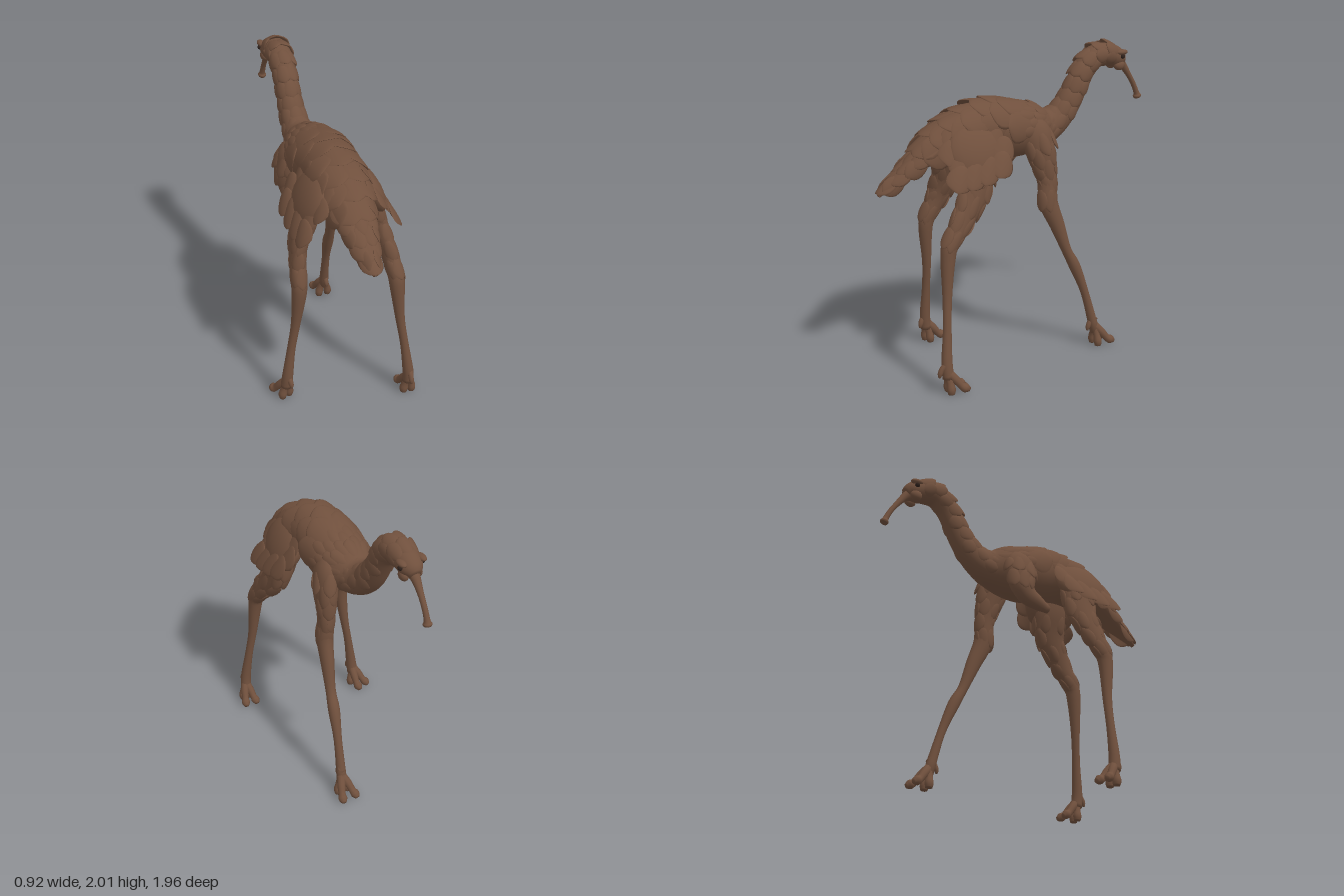
import * as THREE from 'three';
import { mergeGeometries } from 'three/addons/utils/BufferGeometryUtils.js';

const V = (x, y, z) => new THREE.Vector3(x, y, z);

// Limb or torso from stations [x, y, z, halfWidth, halfHeight]
function makeLoft(stations) {
  const path = new THREE.CatmullRomCurve3(stations.map(s => V(s[0], s[1], s[2])), false, 'catmullrom');
  const size = new THREE.CatmullRomCurve3(stations.map(s => V(s[3], s[4] ?? s[3], 0)), false, 'catmullrom');
  const frame = t => {
    const T = path.getTangent(t);
    const side = V(1, 0, 0).addScaledVector(T, -T.x).normalize();
    return { c: path.getPoint(t), side, up: V().crossVectors(T, side), r: size.getPoint(t) };
  };
  const at = (t, a, k = 1) => {
    const f = frame(t);
    return f.c.addScaledVector(f.side, Math.cos(a) * f.r.x * k).addScaledVector(f.up, Math.sin(a) * f.r.y * k);
  };
  const normal = (t, a) => {
    const f = frame(t);
    return f.side.multiplyScalar(Math.cos(a) / f.r.x).addScaledVector(f.up, Math.sin(a) / f.r.y).normalize();
  };
  return { at, normal, last: stations.length - 1 };
}

// Loft lying in the middle plane, from stations [y, z, halfWidth, halfHeight]
const middleLoft = stations => makeLoft(stations.map(s => [0, ...s]));

function loftGeometry(loft, sides = 14) {
  const steps = loft.last * 4, pos = [], idx = [];
  for (let i = -1; i <= steps + 1; i++) {
    const t = Math.min(Math.max(i / steps, 0), 1);
    const k = i < 0 || i > steps ? 0.001 : 1;
    for (let j = 0; j < sides; j++) pos.push(...loft.at(t, j / sides * Math.PI * 2, k).toArray());
  }
  for (let i = 0; i < steps + 2; i++) {
    for (let j = 0; j < sides; j++) {
      const a = i * sides + j, b = i * sides + (j + 1) % sides;
      idx.push(a, b, a + sides, b, b + sides, a + sides);
    }
  }
  const g = new THREE.BufferGeometry();
  g.setAttribute('position', new THREE.Float32BufferAttribute(pos, 3));
  g.setIndex(idx);
  g.computeVertexNormals();
  return g;
}

// Lens-shaped plate, root at the start, broad tip drawn to a soft point, bent across its width
function feather(root, dir, normal, length, width) {
  const g = new THREE.SphereGeometry(1, 12, 10).rotateX(Math.PI / 2);
  const p = g.attributes.position;
  for (let i = 0; i < p.count; i++) {
    const z = p.getZ(i), x = p.getX(i) * (0.95 + 0.15 * z - 0.5 * Math.max(z, 0) ** 4);
    p.setXYZ(i, x * width, p.getY(i) * 0.012 - x * x * width * 0.3, (z + 1) / 2 * length);
  }
  const Z = dir.clone().normalize();
  const X = V().crossVectors(normal, Z).normalize();
  g.applyMatrix4(new THREE.Matrix4().makeBasis(X, V().crossVectors(Z, X), Z).setPosition(root));
  g.computeVertexNormals();
  return g;
}

// Overlapping, staggered rows of feathers on a loft between two station numbers
function plumage(loft, from, to, rows, { arc, count, length, width, lift, mid = 90 }) {
  const out = [];
  for (let k = 0; k < rows; k++) {
    const t = (from + (to - from) * k / (rows - 1)) / loft.last, shift = k % 2;
    for (let j = 0; j < count - shift; j++) {
      const f = (j + shift / 2) / (count - 1) * 2 - 1;
      const a = THREE.MathUtils.degToRad(mid + arc * f);
      const N = loft.normal(t, a), root = loft.at(t, a);
      const dir = loft.at(t + 0.01, a).sub(root).normalize();
      dir.addScaledVector(N, lift - dir.dot(N) * 0.3);
      out.push(feather(root.addScaledVector(N, -0.006), dir, N, length * (1 - 0.15 * f * f), width));
    }
  }
  return mergeGeometries(out);
}

export function createModel() {
  const model = new THREE.Group();
  const brown = new THREE.MeshStandardMaterial({ color: 0x70503d });
  brown.name = 'brown plumage';
  const dark = new THREE.MeshStandardMaterial({ color: 0x2e211b });
  dark.name = 'dark eye';
  const add = (name, geo, parent = model, mat = brown) => {
    const m = new THREE.Mesh(geo, mat);
    m.name = name;
    parent.add(m);
    return m;
  };
  const blob = (name, size, place, mat) => {
    const m = add(name, new THREE.SphereGeometry(1, 18, 12), model, mat);
    m.scale.set(...size);
    m.position.set(...place);
    return m;
  };

  // Head, neck, torso and tail in one sweep
  const body = middleLoft([
    [1.85, -0.82, 0.035, 0.035], [1.875, -0.78, 0.07, 0.065], [1.905, -0.7, 0.082, 0.075],
    [1.9, -0.6, 0.08, 0.075], [1.83, -0.52, 0.076, 0.075], [1.73, -0.46, 0.075, 0.078],
    [1.63, -0.4, 0.08, 0.085], [1.54, -0.32, 0.09, 0.095], [1.49, -0.22, 0.115, 0.12],
    [1.49, -0.1, 0.17, 0.16], [1.505, 0.05, 0.195, 0.185], [1.53, 0.2, 0.18, 0.175],
    [1.53, 0.35, 0.18, 0.14], [1.49, 0.5, 0.155, 0.11], [1.41, 0.65, 0.12, 0.065],
    [1.315, 0.8, 0.075, 0.035], [1.2, 0.965, 0.016, 0.01]
  ]);
  add('body', loftGeometry(body, 24));

  // Plumage from the crown to the tail tip
  add('neckFeathers', plumage(body, 1.6, 7.6, 9, { arc: 110, count: 5, length: 0.12, width: 0.055, lift: 0.07 }));
  add('shoulderFeathers', plumage(body, 7.8, 9.4, 5, { arc: 85, count: 6, length: 0.13, width: 0.055, lift: 0.04 }));
  add('backFeathers', plumage(body, 9.6, 13.2, 7, { arc: 75, count: 4, length: 0.23, width: 0.11, lift: 0.03 }));
  add('tailFeathers', plumage(body, 13.3, 15.1, 5, { arc: 78, count: 4, length: 0.19, width: 0.06, lift: 0.05 }));

  for (const side of [1, -1]) {
    // Slanted haunch, draped with a skirt of broad feathers
    const label = side > 0 ? 'left' : 'right';
    blob(label + 'Haunch', [0.075, 0.18, 0.19], [side * 0.185, 1.44, 0.4]).rotation.z = side * 0.45;
    const skirt = [];
    for (let i = 0; i < 4; i++) {
      for (let j = 0; j < 4; j++) {
        const z = 0.2 + j * 0.095 + (i % 2) * 0.04;
        const root = V(side * (0.115 + i * 0.05), 1.655 - i * 0.07 - (z - 0.2) * 0.18, z);
        const length = 0.2 - Math.abs(j - 1.5) * 0.015;
        skirt.push(feather(root, V(side * 0.33, -0.7, 0.4), V(side * 0.88, 0.45, 0.1), length, 0.085));
      }
    }
    add(label + 'HaunchFeathers', mergeGeometries(skirt));

    // Eye under a heavy brow, with a cheek behind the snout
    blob('eye', [0.016, 0.016, 0.016], [side * 0.073, 1.895, -0.772], dark);
    blob('brow', [0.025, 0.018, 0.045], [side * 0.065, 1.922, -0.77]);
    blob('cheek', [0.028, 0.035, 0.04], [side * 0.045, 1.835, -0.765]);
  }

  // Long curved tubular beak with a flared end
  add('beak', loftGeometry(middleLoft([
    [1.86, -0.78, 0.045], [1.825, -0.825, 0.028], [1.76, -0.875, 0.019], [1.69, -0.92, 0.017],
    [1.625, -0.95, 0.019], [1.605, -0.956, 0.028], [1.592, -0.96, 0.024]
  ])));

  // Foot: splayed front toes, pads under the ankle, and a raised rear claw
  const addFoot = (leg, x, z, turn, spread) => {
    const foot = new THREE.Group();
    foot.name = 'foot';
    foot.position.set(x, 0, z);
    foot.rotation.y = turn;
    leg.add(foot);
    for (const s of [spread, -spread]) {
      add('toe', loftGeometry(makeLoft([[0, 0.14, 0, 0.03], [s * 0.024, 0.095, -0.04, 0.027],
        [s * 0.038, 0.05, -0.075, 0.024], [s * 0.046, 0.032, -0.1, 0.03], [s * 0.05, 0.018, -0.125, 0.015]]), 10), foot);
      add('pad', loftGeometry(makeLoft([[0, 0.14, 0, 0.028], [s * 0.022, 0.08, -0.005, 0.022],
        [s * 0.032, 0.035, -0.01, 0.028], [s * 0.032, 0.004, -0.012, 0.022]]), 10), foot);
    }
    add('rearClaw', loftGeometry(middleLoft([[0.2, -0.005, 0.025], [0.17, 0.035, 0.018],
      [0.14, 0.05, 0.016], [0.115, 0.055, 0.008]]), 10), foot);
  };
  const addLeg = (name, stations, ...foot) => {
    const leg = new THREE.Group();
    leg.name = name;
    model.add(leg);
    const loft = makeLoft(stations);
    add('limb', loftGeometry(loft), leg);
    add('limbFeathers', plumage(loft, 1, 3.4, 5,
      { mid: 0, arc: 150, count: 5, length: 0.16, width: 0.045, lift: -0.03 }), leg);
    addFoot(leg, ...foot);
  };

  // Rear legs share one profile [x, y, halfWidth, halfDepth] and differ in stride
  const rear = [[0.15, 1.5, 0.06, 0.09], [0.19, 1.37, 0.08, 0.125], [0.23, 1.22, 0.065, 0.11],
    [0.27, 1.065, 0.05, 0.08], [0.289, 0.925, 0.051, 0.055], [0.295, 0.83, 0.046, 0.046],
    [0.315, 0.6, 0.03, 0.03], [0.345, 0.4, 0.027, 0.027], [0.37, 0.2, 0.035, 0.035], [0.378, 0.1, 0.038, 0.038]];
  const stride = (side, zs) => rear.map(([x, y, w, d], i) => [side * x, y, zs[i], w, d]);
  addLeg('leftRearLeg', stride(1, [0.4, 0.4, 0.43, 0.535, 0.635, 0.66, 0.68, 0.7, 0.72, 0.715]), 0.38, 0.72, -0.1, 0.8);
  addLeg('rightRearLeg', stride(-1, [0.38, 0.37, 0.37, 0.42, 0.49, 0.508, 0.495, 0.49, 0.49, 0.48]), -0.375, 0.48, 0.28, 0.8);
  addLeg('leftFrontLeg', [[0.1, 1.58, -0.03, 0.04, 0.05], [0.14, 1.49, -0.06, 0.07, 0.1],
    [0.16, 1.36, -0.09, 0.066, 0.095], [0.175, 1.2, -0.12, 0.052, 0.066], [0.19, 1.04, -0.125, 0.052, 0.064],
    [0.205, 0.88, -0.185, 0.043, 0.05], [0.22, 0.7, -0.25, 0.033], [0.23, 0.58, -0.31, 0.038],
    [0.245, 0.38, -0.385, 0.027], [0.26, 0.1, -0.46, 0.034]], 0.26, -0.455, 0, 1);

  // Short folded stump in place of the fourth leg
  const stump = makeLoft([[-0.1, 1.58, -0.02, 0.04, 0.05], [-0.14, 1.49, -0.04, 0.07, 0.11],
    [-0.165, 1.37, -0.05, 0.066, 0.1], [-0.165, 1.275, -0.01, 0.058, 0.07],
    [-0.16, 1.235, 0.07, 0.048, 0.05], [-0.155, 1.205, 0.165, 0.022, 0.026]]);
  add('rightFrontStump', loftGeometry(stump));
  add('stumpFeathers', plumage(stump, 1, 1.7, 2,
    { mid: 180, arc: 80, count: 4, length: 0.14, width: 0.05, lift: -0.03 }));

  return model;
}
